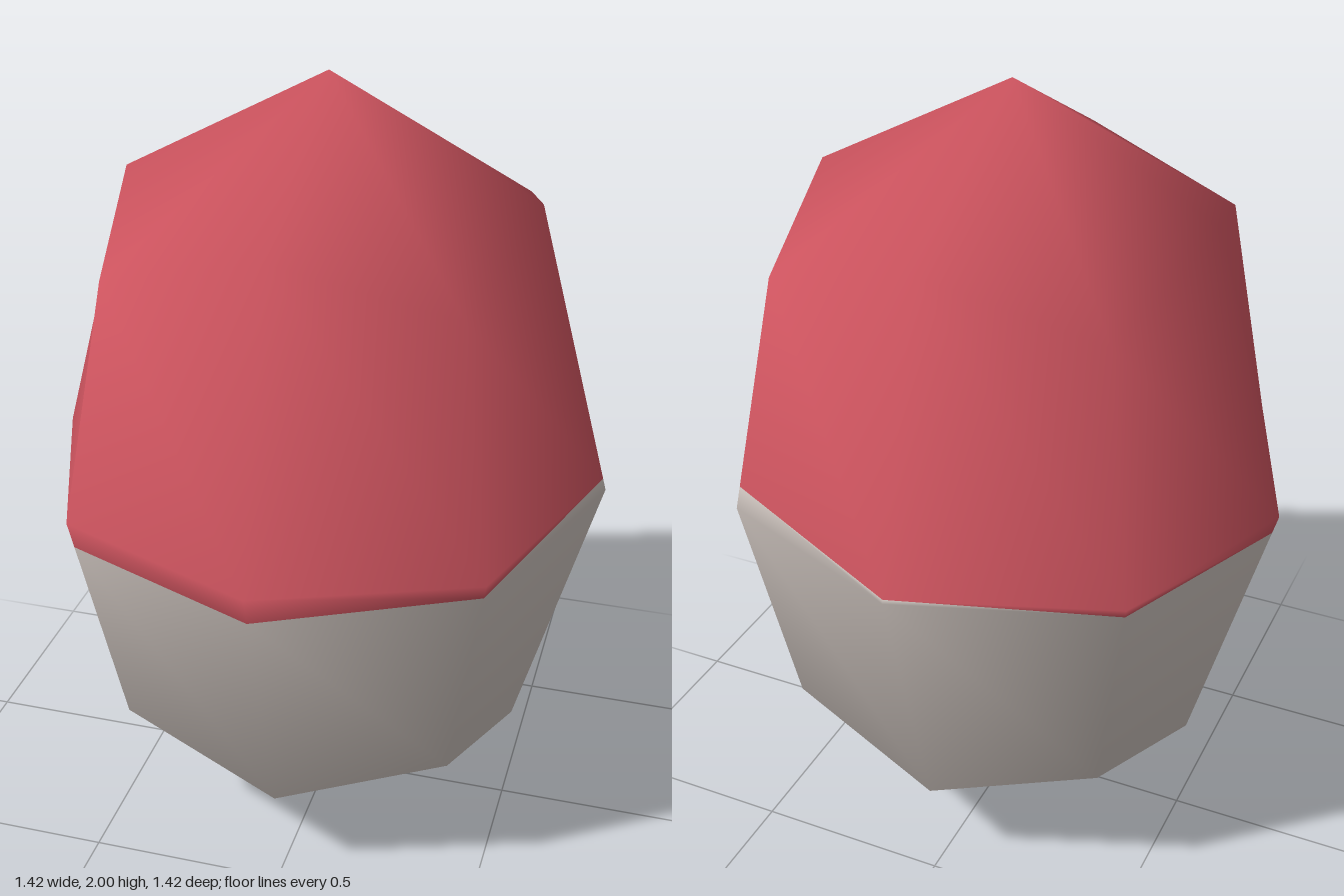
import * as THREE from 'three';

// Height of the colour boundary above or below the equator, for each column,
// going round from the front (+z) towards +x
const BOUNDARY = [-0.075, -0.035, 0.03, 0.06, 0.01, -0.02, -0.05, -0.07];
const SIDES = BOUNDARY.length;

export function createModel() {
  const red = new THREE.MeshStandardMaterial({ color: 0xd05560 });
  red.name = 'red';
  const cream = new THREE.MeshStandardMaterial({ color: 0xd6ccc6 });
  cream.name = 'cream';

  const positions = [];
  const addPoint = (radius, y, angle) => {
    positions.push(radius * Math.sin(angle), y, radius * Math.cos(angle));
    return positions.length / 3 - 1;
  };
  const top = addPoint(0, 2, 0);
  const bottom = addPoint(0, 0, 0);

  // Each column runs from pole to pole; odd columns hold the rounded cube corners
  const columns = BOUNDARY.map((h, k) => {
    const angle = (k / SIDES) * Math.PI * 2;
    const corner = k % 2 === 1;
    const belly = corner ? 0.72 : 0.71;
    const shoulder = corner ? 0.594 : 0.512;
    const rise = corner ? 0.6 : 0.725;
    const upper = addPoint(shoulder, 1 + rise, angle);
    const lower = addPoint(shoulder, 1 - rise, angle);
    const equator = addPoint(belly, 1, angle);
    const t = Math.abs(h) / rise;
    const split = addPoint(belly + (shoulder - belly) * t, 1 + h, angle);
    return h > 0
      ? [top, upper, split, split, equator, lower, bottom]
      : [top, upper, equator, split, split, lower, bottom];
  });

  // Joins neighbouring columns between two levels, skipping collapsed triangles
  const indices = [];
  const addTriangle = (a, b, c) => {
    if (a !== b && b !== c && a !== c) indices.push(a, b, c);
  };
  const addBands = (from, to) => {
    for (let k = 0; k < SIDES; k++) {
      const left = columns[k];
      const right = columns[(k + 1) % SIDES];
      for (let i = from; i < to; i++) {
        addTriangle(left[i], left[i + 1], right[i + 1]);
        addTriangle(left[i], right[i + 1], right[i]);
      }
    }
  };

  // Red upper half, then cream lower half, sharing smooth normals
  addBands(0, 3);
  const redCount = indices.length;
  addBands(3, 6);

  const geometry = new THREE.BufferGeometry();
  geometry.setAttribute('position', new THREE.Float32BufferAttribute(positions, 3));
  geometry.setIndex(indices);
  geometry.addGroup(0, redCount, 0);
  geometry.addGroup(redCount, indices.length - redCount, 1);
  geometry.computeVertexNormals();

  const capsule = new THREE.Mesh(geometry, [red, cream]);
  capsule.name = 'capsule';

  const model = new THREE.Group();
  model.name = 'twoToneCapsule';
  model.add(capsule);
  return model;
}
